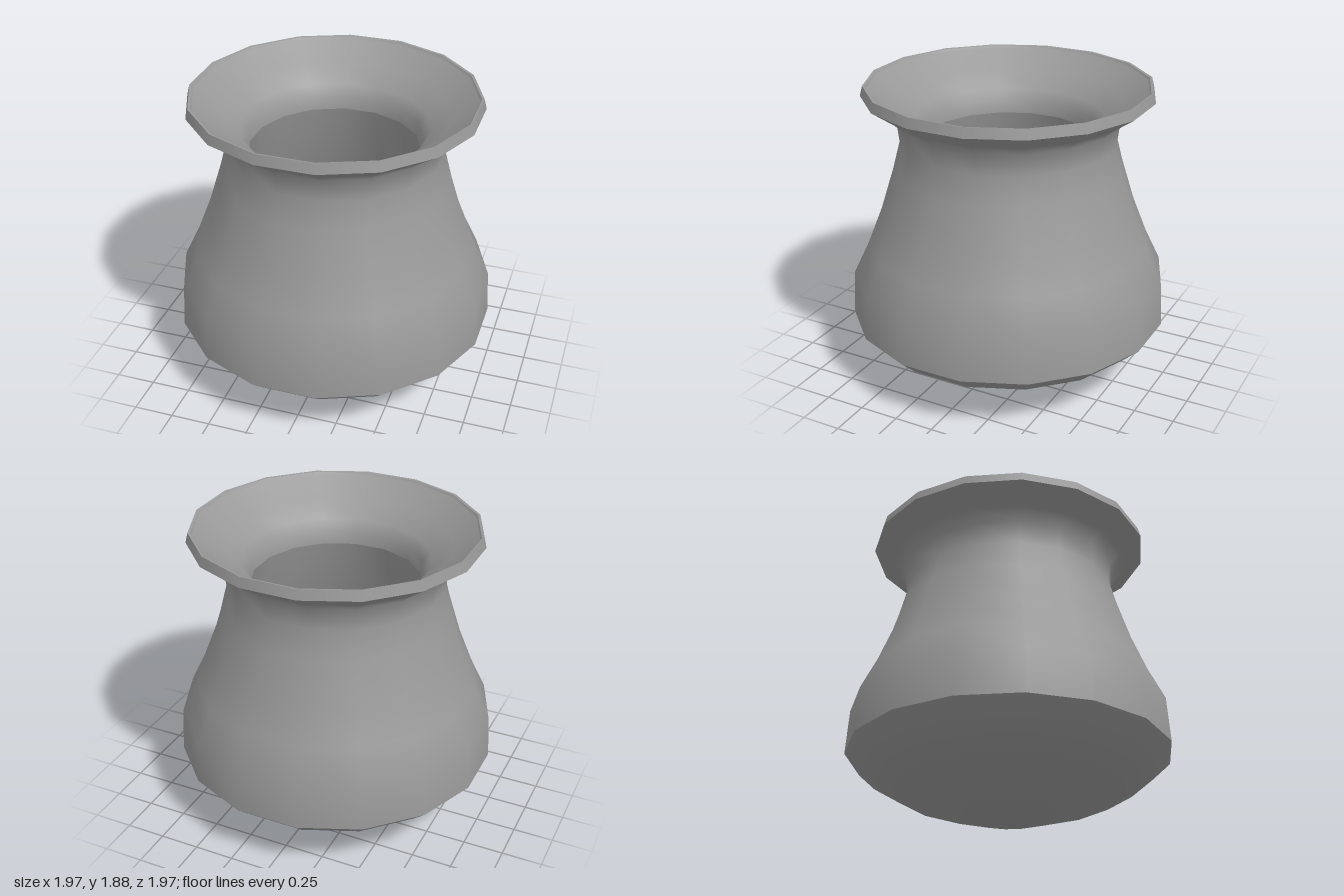
import * as THREE from 'three';

const SIDES = 16;
// profiles give the half-width across flats, so scale out to the corners
const CORNER = 1 / Math.cos(Math.PI / SIDES);

export function createModel() {
  const pot = new THREE.Group();
  pot.name = 'pot';
  const clay = new THREE.MeshStandardMaterial({ color: 0x999999 });
  clay.name = 'grey clay';

  // each profile is smooth in itself; the joins between them stay sharp
  function turned(name, profile) {
    const points = profile.map(([r, y]) => new THREE.Vector2(r * CORNER, y));
    const geometry = new THREE.LatheGeometry(points, SIDES, Math.PI / SIDES);
    const mesh = new THREE.Mesh(geometry, clay);
    mesh.name = name;
    pot.add(mesh);
  }

  // shallow rounded underside
  turned('base', [[0, 0], [0.25, 0.015], [0.69, 0.165], [0.875, 0.28], [0.985, 0.385]]);

  // belly, neck and underside of the flare
  turned('outerWall', [
    [0.985, 0.385], [0.967, 0.665], [0.87, 0.87], [0.78, 1.1], [0.7, 1.36],
    [0.656, 1.53], [0.672, 1.67], [0.74, 1.73], [0.875, 1.825],
  ]);

  // rim band and its narrow top
  turned('rimBand', [[0.875, 1.825], [0.86, 1.885]]);
  turned('rimTop', [[0.86, 1.885], [0.845, 1.882]]);

  // flare running down to the throat
  turned('innerFlare', [
    [0.845, 1.882], [0.835, 1.865], [0.69, 1.76], [0.57, 1.67], [0.525, 1.6], [0.515, 1.52],
  ]);

  // hollow inside below the throat
  turned('innerWall', [
    [0.515, 1.52], [0.56, 1.33], [0.64, 1.07], [0.73, 0.83], [0.83, 0.63], [0.845, 0.44],
  ]);
  turned('innerFloor', [[0.845, 0.44], [0.62, 0.29], [0.23, 0.15], [0, 0.14]]);

  return pot;
}
